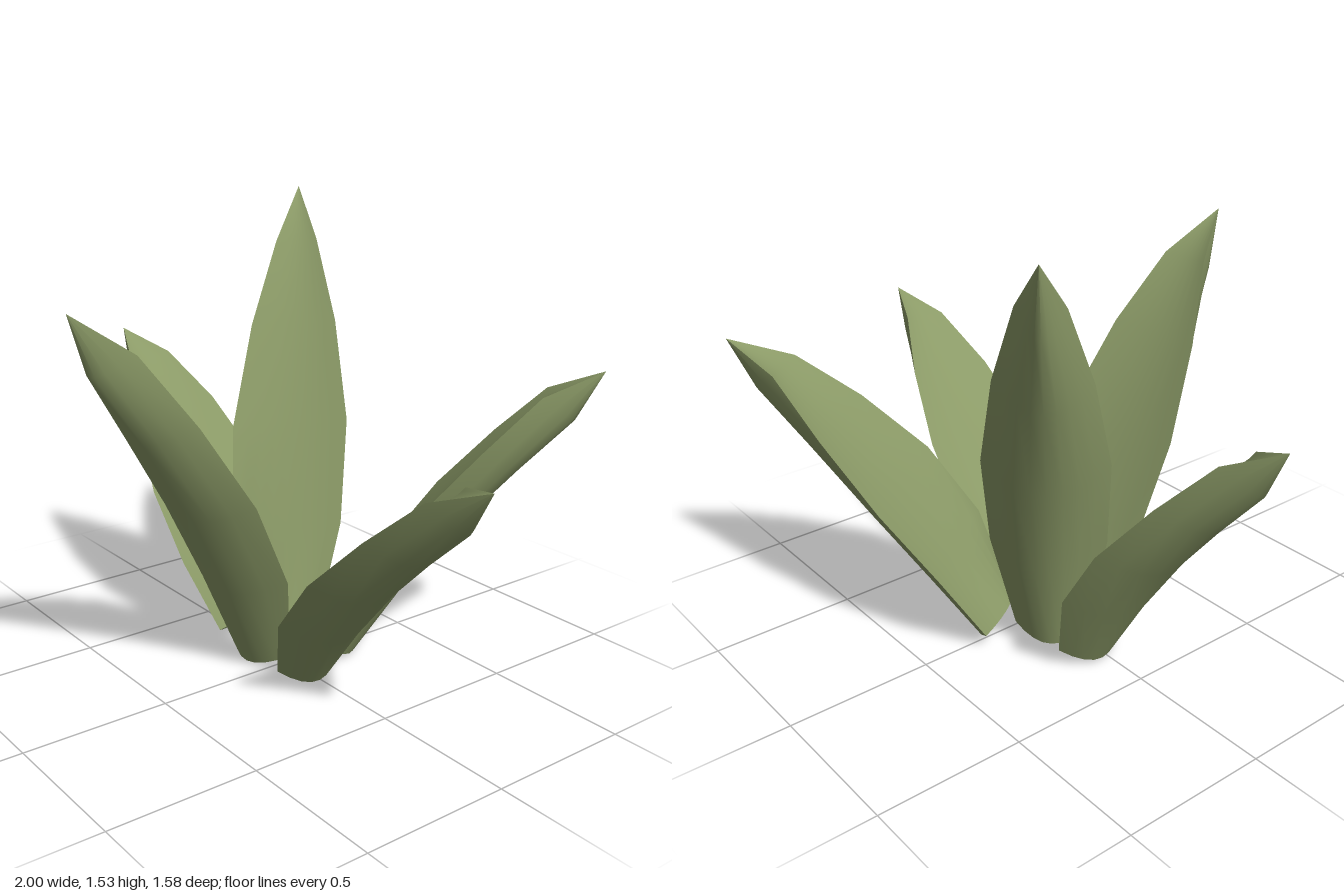
import * as THREE from 'three';
import { mergeGeometries } from 'three/addons/utils/BufferGeometryUtils.js';

// Cross-sections along a leaf, base to tip:
// along = fraction of length, width = fraction of full width,
// edge / inner / outer = height of margin, inner midline and keel above the base-to-tip chord
const ROWS = [
  { along: 0.0, width: 0.6, edge: 0.02, inner: 0.075, outer: -0.065 },
  { along: 0.22, width: 0.95, edge: 0.1, inner: 0.085, outer: -0.03 },
  { along: 0.445, width: 1.0, edge: 0.12, inner: 0.1, outer: -0.015 },
  { along: 0.67, width: 0.74, edge: 0.11, inner: 0.09, outer: -0.025 },
  { along: 0.86, width: 0.36, edge: 0.09, inner: 0.075, outer: -0.04 },
  { along: 1.0, width: 0, edge: 0, inner: 0, outer: 0 },
];
const COLUMNS = 8;

// Base point, tip point, direction across the blade, full width
const LEAVES = [
  { name: 'frontLeaf', base: [-0.08, 0.03, 0.07], tip: [0.02, 1.3, 0.79], across: [-1, 0, 0.11], width: 0.46 },
  { name: 'rightLeaf', base: [-0.29, 0.035, -0.03], tip: [-1, 0.99, 0.03], across: [-0.1, 0.08, -1], width: 0.47 },
  { name: 'backRightLeaf', base: [-0.15, 0.04, -0.09], tip: [-0.6, 1.52, -0.5], across: [0.6, 0.06, -0.8], width: 0.4 },
  { name: 'backLeftLeaf', base: [0.04, 0.035, -0.19], tip: [0.63, 1.02, -0.79], across: [0.6, 0.04, 0.8], width: 0.47 },
  { name: 'leftLeaf', base: [0.13, 0.035, 0.01], tip: [1, 0.9, 0.09], across: [0, -0.09, 1], width: 0.42 },
];

// Smooth surface through rows of points
function patch(rows, flip) {
  const n = rows[0].length;
  const index = [];
  for (let r = 0; r < rows.length - 1; r++) {
    for (let c = 0; c < n - 1; c++) {
      const a = r * n + c, b = a + 1, d = a + n, e = d + 1;
      if (flip) index.push(a, e, b, a, d, e);
      else index.push(a, b, e, a, e, d);
    }
  }
  const geometry = new THREE.BufferGeometry().setFromPoints(rows.flat());
  geometry.setIndex(index);
  geometry.computeVertexNormals();
  return geometry;
}

function leafGeometry({ base, tip, across, width }) {
  const origin = new THREE.Vector3(...base);
  const chord = new THREE.Vector3(...tip).sub(origin);
  const side = new THREE.Vector3(...across).normalize();
  const up = side.clone().cross(chord).normalize();

  // One row of points bulging from the margins to the given midline
  const section = (row, side_) => Array.from({ length: COLUMNS + 1 }, (_, i) => {
    const u = (i / COLUMNS) * 2 - 1;
    const height = row.edge + (row[side_] - row.edge) * (1 - u * u);
    return origin.clone()
      .addScaledVector(chord, row.along)
      .addScaledVector(side, u * row.width * width / 2)
      .addScaledVector(up, height);
  });

  const inner = ROWS.map((row) => section(row, 'inner'));
  const outer = ROWS.map((row) => section(row, 'outer'));
  // Inner face, outer face and the cut end at the base
  return mergeGeometries([patch(inner, false), patch(outer, true), patch([outer[0], inner[0]], false)]);
}

export function createModel() {
  const group = new THREE.Group();
  group.name = 'succulentPlant';
  const leafGreen = new THREE.MeshStandardMaterial({ color: 0x8b9a67 });
  leafGreen.name = 'leafGreen';
  for (const leaf of LEAVES) {
    const mesh = new THREE.Mesh(leafGeometry(leaf), leafGreen);
    mesh.name = leaf.name;
    group.add(mesh);
  }
  return group;
}
